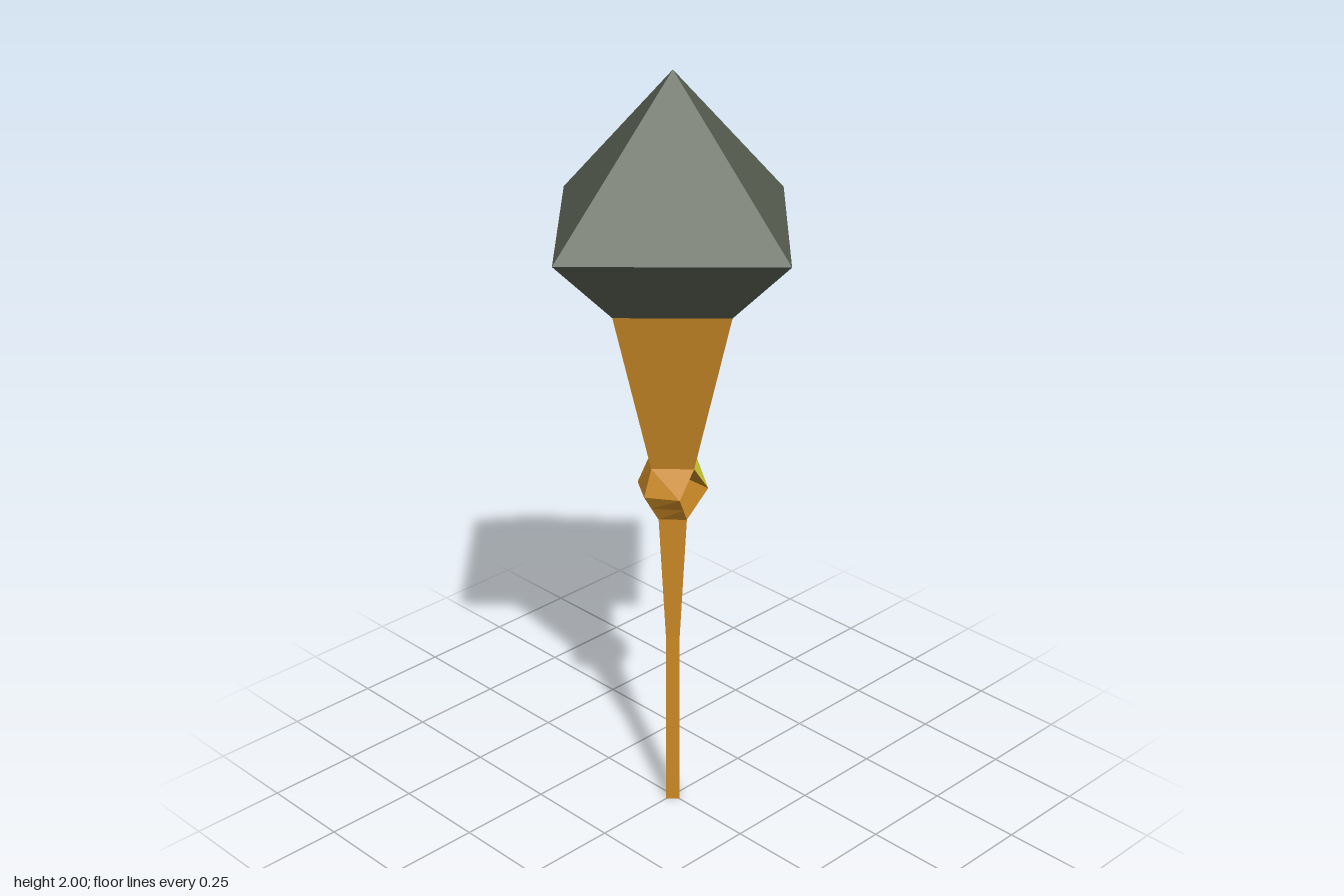
import * as THREE from 'three';

const paint = (name, color) => {
  const m = new THREE.MeshStandardMaterial({ color });
  m.name = name;
  return m;
};

// faceted normals
const flat = (geometry) => {
  const g = geometry.index ? geometry.toNonIndexed() : geometry;
  g.computeVertexNormals();
  return g;
};

// strut cross-sections: [y, outer x, corner x, corner z]
const SECTIONS = [
  [1.0, 0.075, 0, 0.075],
  [0.93, 0.1, 0.05, 0.075],
  [0.89, 0.075, 0.025, 0.0625],
  [0.85, 0.05, 0, 0.05],
];

// faces of one strut between sections i and i + 1
function strutFaces(i, corners) {
  const loop = ([y, xo, xc, z]) => [[xc, y, z], [xo, y, 0], [xc, y, -z]];
  const top = loop(SECTIONS[i]);
  const low = loop(SECTIONS[i + 1]);
  const pos = [];
  for (const a of corners) {
    const b = (a + 1) % 3;
    const flip = (a === 1) !== (i > 0);
    const tris = flip
      ? [low[a], low[b], top[a], low[b], top[b], top[a]]
      : [low[a], low[b], top[b], low[a], top[b], top[a]];
    pos.push(...tris.flat());
  }
  const g = new THREE.BufferGeometry();
  g.setAttribute('position', new THREE.Float32BufferAttribute(pos, 3));
  return flat(g);
}

export function createModel() {
  const model = new THREE.Group();
  model.name = 'mace';
  const stone = paint('dark stone', 0x5a6254);
  const gold = paint('gold', 0xddb630);
  const orange = paint('burnt orange', 0xcc8a26);
  const lime = paint('yellow green', 0xd8d634);
  const silver = paint('silver', 0xbcbcba);

  const add = (parent, name, geometry, material) => {
    const mesh = new THREE.Mesh(geometry, material);
    mesh.name = name;
    parent.add(mesh);
    return mesh;
  };
  const lathe = (profile, sides, start, length) => flat(new THREE.LatheGeometry(
    profile.map(([r, y]) => new THREE.Vector2(r, y)), sides, start, length));

  // head: a four-sided cut stone
  add(model, 'head', lathe([[0, 1.44], [0.2, 1.44], [0.385, 1.62], [0, 2]], 4, 0, Math.PI * 2), stone);

  // socket and handle, each in a gold left half and an orange right half
  for (const [side, start, material] of [['left', 0, gold], ['right', Math.PI, orange]]) {
    add(model, side + 'Socket', lathe([[0, 1], [0.075, 1], [0.2, 1.44]], 2, start, Math.PI), material);
    add(model, side + 'Handle',
      lathe([[0.025, 0], [0.025, 0.5], [0.05, 0.85], [0, 0.85]], 2, start, Math.PI), material);
  }
  const cap = new THREE.CircleGeometry(0.025, 4).rotateX(Math.PI / 2);
  add(model, 'handleEnd', cap, orange);

  // open collar: two bent struts around a diamond hole
  const struts = [
    ['leftStrut', 0, [lime, lime, gold], orange],
    ['rightStrut', Math.PI, [orange, orange, orange], gold],
  ];
  for (const [name, turn, outer, inner] of struts) {
    const strut = new THREE.Group();
    strut.name = name;
    strut.rotation.y = turn;
    for (let i = 0; i < 3; i++) {
      add(strut, 'outerFaces', strutFaces(i, [0, 1]), outer[i]);
      add(strut, 'innerFace', strutFaces(i, [2]), inner);
    }
    model.add(strut);
  }

  // silver spot folded over the outer edge of the left strut
  const spot = new THREE.RingGeometry(0, 1, 24, 4);
  const p = spot.attributes.position;
  for (let i = 0; i < p.count; i++) {
    const z = -0.012 - 0.038 * p.getX(i);
    const y = 0.965 + 0.022 * p.getY(i);
    const u = Math.abs(z) / 0.075;
    const v = (1 - y) / 0.07;
    const x = Math.min(0.075 + 0.025 * v - 0.05 * u, 0.075 - 0.075 * u + 0.05 * v);
    p.setXYZ(i, x + 0.004, y, z);
  }
  spot.computeVertexNormals();
  add(model, 'spot', spot, silver);

  return model;
}
